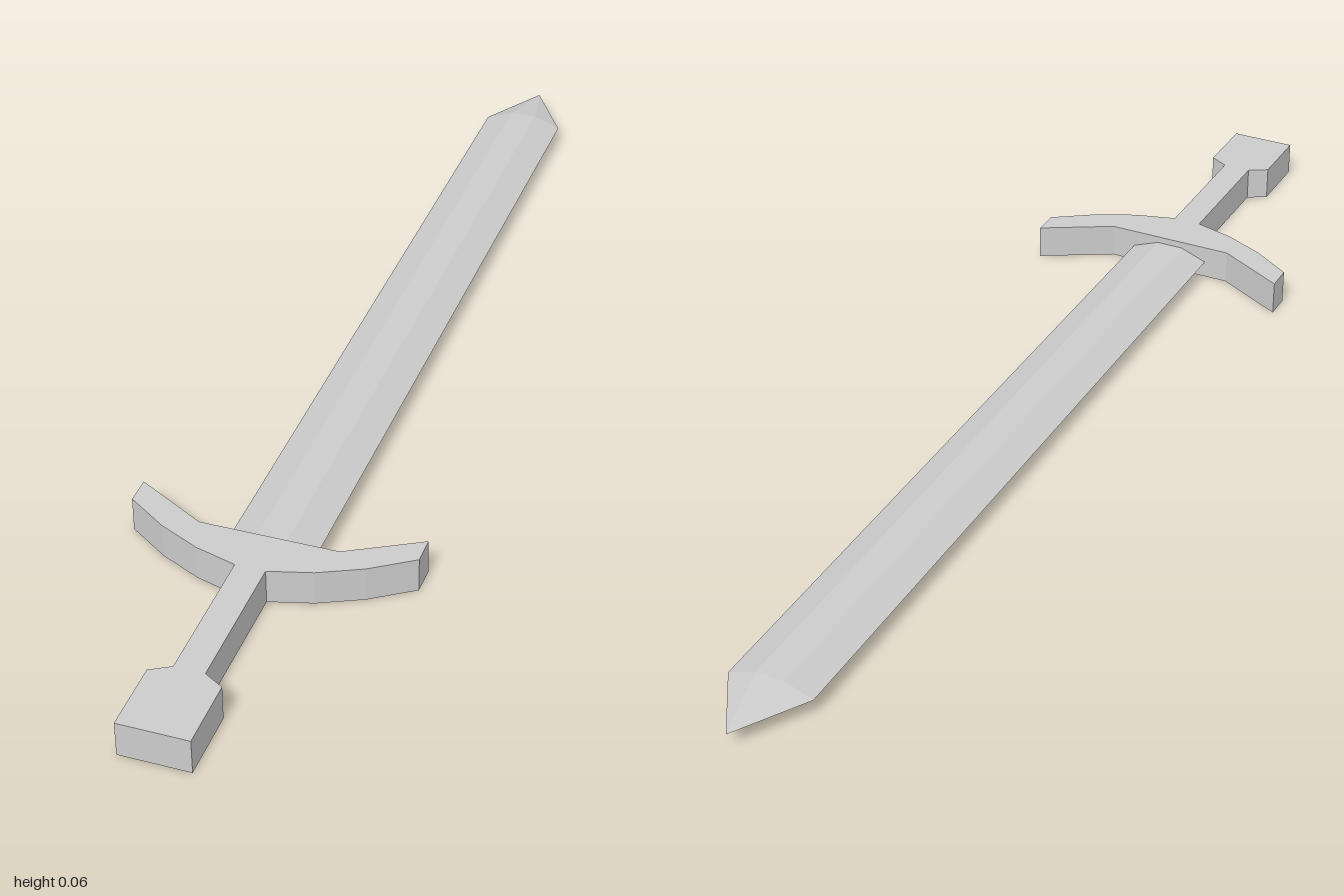
import * as THREE from 'three';

const material = new THREE.MeshStandardMaterial({ color: 0xcccccc, flatShading: true });
const THICKNESS = 0.06;

// Flat hilt piece: right half of the outline as [x, z], mirrored and extruded upward
function slab(name, half) {
  const outline = [...half, ...half.map(([x, z]) => [-x, z]).reverse()];
  const shape = new THREE.Shape(outline.map(([x, z]) => new THREE.Vector2(x, z)));
  const geometry = new THREE.ExtrudeGeometry(shape, { depth: THICKNESS, bevelEnabled: false });
  geometry.rotateX(Math.PI / 2).translate(0, THICKNESS, 0);
  const mesh = new THREE.Mesh(geometry, material);
  mesh.name = name;
  return mesh;
}

// Blade: hexagonal section swept along z, closing to a point
function blade() {
  const w = 0.072, f = 0.024, h = 0.018, mid = THICKNESS / 2;
  const section = [[w, 0], [f, h], [-f, h], [-w, 0], [-f, -h], [f, -h]];
  const at = ([x, y], z) => [x, y + mid, z];
  const base = 0.56, shoulder = -0.88;
  const tip = [0, mid, -1], root = [0, mid, base];
  const positions = [];
  section.forEach((p, i) => {
    const q = section[(i + 1) % section.length];
    const a = at(p, base), b = at(q, base), c = at(p, shoulder), d = at(q, shoulder);
    positions.push(...a, ...c, ...b, ...b, ...c, ...d); // side
    positions.push(...c, ...tip, ...d); // point
    positions.push(...root, ...a, ...b); // end cap
  });
  const geometry = new THREE.BufferGeometry();
  geometry.setAttribute('position', new THREE.Float32BufferAttribute(positions, 3));
  geometry.computeVertexNormals();
  const mesh = new THREE.Mesh(geometry, material);
  mesh.name = 'blade';
  return mesh;
}

export function createModel() {
  const sword = new THREE.Group();
  sword.name = 'sword';
  sword.add(
    blade(),
    // Guard, grip and pommel share one continuous outline
    slab('hilt', [
      [0.115, 0.54], [0.236, 0.473], [0.236, 0.52], [0.166, 0.567], [0.096, 0.6], [0.025, 0.62],
      [0.025, 0.863], [0.058, 0.882], [0.058, 1],
    ]),
  );
  return sword;
}
